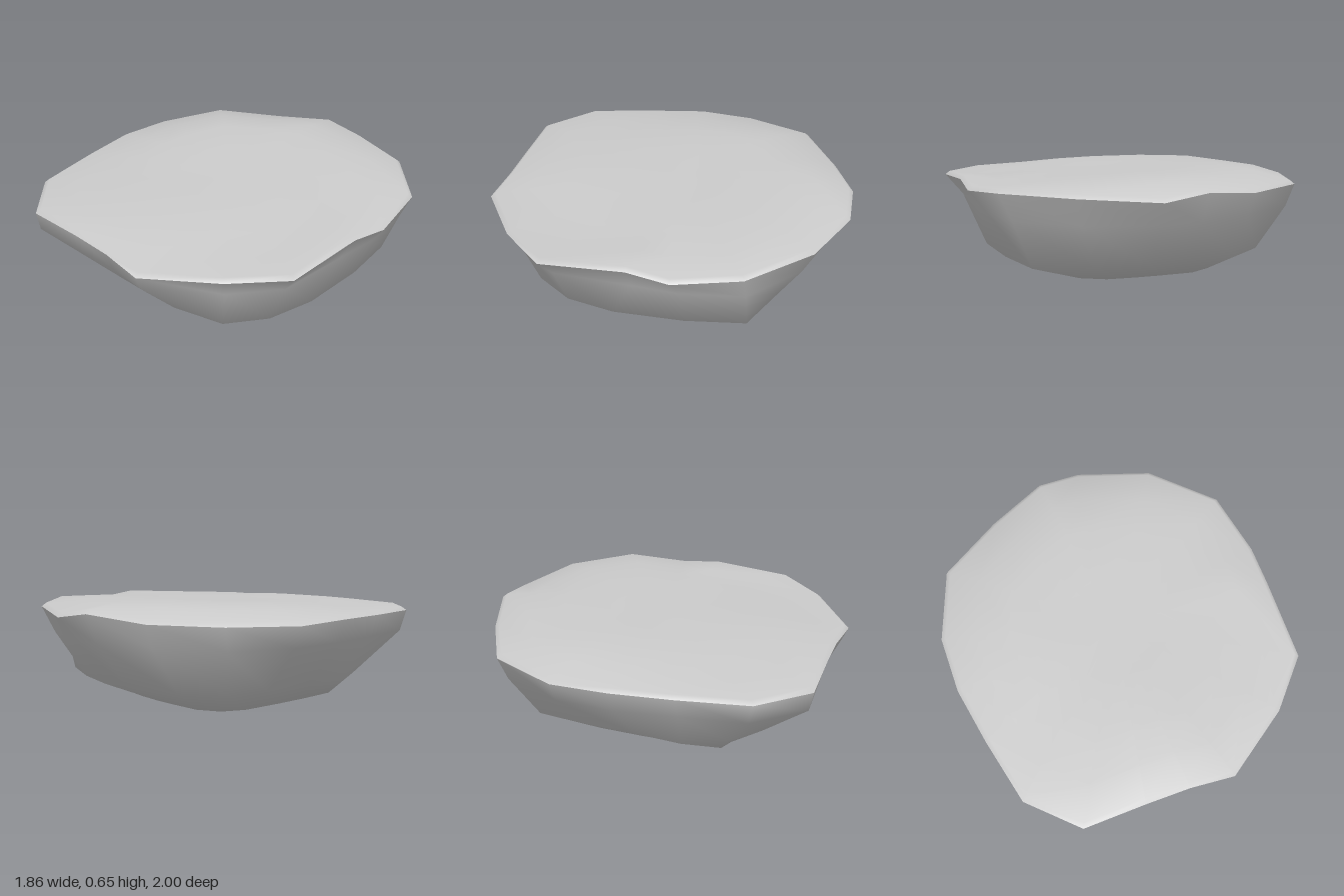
import * as THREE from 'three';

// Outlines as x, z pairs, all running the same way round from the back
const RIM = [0.1, -1, 0.5, -0.87, 0.82, -0.58, 0.91, -0.23, 0.91, 0, 0.925, 0.46, 0.71, 0.72, 0.36, 0.98, 0.11, 0.97,
  -0.14, 0.98, -0.49, 1, -0.75, 0.77, -0.85, 0.4, -0.92, 0.08, -0.93, -0.24, -0.8, -0.62, -0.46, -0.84, -0.14, -0.98];
const RIM_Y = [0.57, 0.59, 0.59, 0.56, 0.59, 0.56, 0.555, 0.535, 0.55, 0.555, 0.55, 0.56, 0.565, 0.57, 0.56, 0.57, 0.57, 0.605];
const SHOULDER = [0.09, -0.91, 0.46, -0.81, 0.75, -0.58, 0.82, -0.25, 0.82, 0, 0.83, 0.42, 0.66, 0.67, 0.34, 0.94, 0.1, 0.93,
  -0.14, 0.95, -0.49, 0.98, -0.73, 0.74, -0.8, 0.4, -0.87, 0.08, -0.88, -0.24, -0.77, -0.58, -0.44, -0.79, -0.13, -0.91];
const BELLY = [0.06, -0.74, 0.35, -0.68, 0.65, -0.57, 0.72, -0.25, 0.75, 0.13, 0.71, 0.4, 0.58, 0.61, 0.3, 0.7, 0.08, 0.72,
  -0.1, 0.73, -0.36, 0.71, -0.53, 0.58, -0.65, 0.36, -0.65, 0.1, -0.655, -0.2, -0.65, -0.47, -0.45, -0.63, -0.14, -0.73];
const FOOT = [0.05, -0.41, 0.2, -0.4, 0.33, -0.33, 0.4, -0.15, 0.43, 0.05, 0.46, 0.3, 0.45, 0.48, 0.25, 0.5, 0.05, 0.51,
  -0.1, 0.52, -0.33, 0.53, -0.41, 0.5, -0.44, 0.28, -0.46, 0.05, -0.47, -0.2, -0.42, -0.33, -0.3, -0.4, -0.1, -0.41];
const COUNT = RIM_Y.length;

// Turns an outline into a ring of points, shrunk about the middle, with y from a rule
function ring(outline, scale, height) {
  return RIM_Y.map((rimY, i) => {
    const x = outline[2 * i] * scale;
    const z = outline[2 * i + 1] * scale;
    return [x, height(x, z, rimY), z];
  });
}

// Height of the top: rises to the back and right, with the front corners worn down
function plateau(x, z) {
  return 0.62 - 0.035 * z - 0.02 * x + 0.025 * z * z - 0.12 * x * x * Math.max(0, z);
}

// Smooth skin from a tip outward over its rings; facing up or down
function skin(name, tip, rings, up) {
  const index = [];
  const triangle = (a, b, c) => index.push(a, up ? c : b, up ? b : c);
  for (let i = 0; i < COUNT; i++) {
    const j = (i + 1) % COUNT;
    triangle(0, 1 + i, 1 + j);
    for (let r = 0; r < rings.length - 1; r++) {
      const a = 1 + r * COUNT, b = a + COUNT;
      triangle(a + i, b + i, b + j);
      triangle(a + i, b + j, a + j);
    }
  }
  const geometry = new THREE.BufferGeometry();
  geometry.setAttribute('position', new THREE.Float32BufferAttribute([tip, ...rings.flat()].flat(), 3));
  geometry.setIndex(index);
  geometry.computeVertexNormals();
  const mesh = new THREE.Mesh(geometry, new THREE.MeshStandardMaterial({ color: 0xcccccc }));
  mesh.name = name;
  return mesh;
}

export function createModel() {
  const edge = ring(RIM, 1, (x, z, rimY) => rimY - 0.005);
  const group = new THREE.Group();
  group.name = 'rock';
  group.add(
    // Rounded underside and flanks up to the rim
    skin('rockUnderside', [0.04, 0, 0.06], [
      ring(FOOT, 0.6, () => 0.02),
      ring(FOOT, 1, () => 0.06),
      ring(BELLY, 1, () => 0.19),
      ring(SHOULDER, 1, () => 0.44),
      edge,
    ], false),
    // Gently uneven top that rolls down to the rim
    skin('rockTop', [0, plateau(0, 0), 0], [
      ring(RIM, 0.3, plateau),
      ring(RIM, 0.6, plateau),
      ring(RIM, 0.8, (x, z, rimY) => rimY * 0.35 + plateau(x, z) * 0.65),
      ring(RIM, 0.975, (x, z, rimY) => rimY + 0.015),
      edge,
    ], true)
  );
  return group;
}
